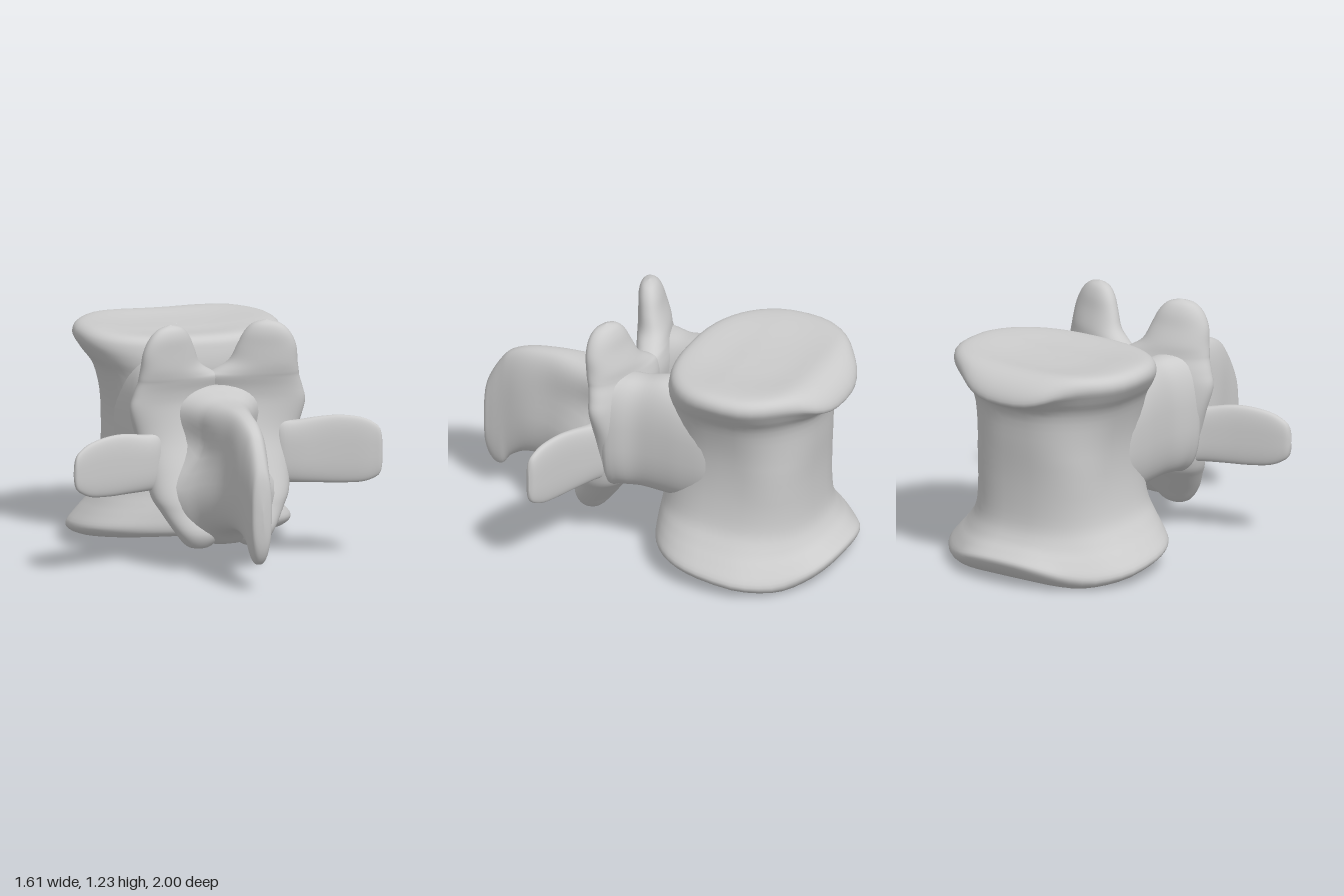
import * as THREE from 'three';

const { clamp, smoothstep } = THREE.MathUtils;
const material = new THREE.MeshStandardMaterial({ color: 0xcccccc });
const SIDES = 48, STEPS = 4;

// Smooth interpolation between profile rows
function smoothRows(rows) {
  const out = [];
  const at = (i) => rows[Math.min(Math.max(i, 0), rows.length - 1)];
  for (let i = 0; i < rows.length - 1; i++) {
    for (let s = 0; s < STEPS; s++) {
      const u = s / STEPS;
      out.push(rows[i].map((p1, k) => {
        const p0 = at(i - 1)[k], p2 = at(i + 1)[k], p3 = at(i + 2)[k];
        return 0.5 * (2 * p1 + (p2 - p0) * u + (2 * p0 - 5 * p1 + 4 * p2 - p3) * u * u
          + (3 * p1 - p0 - 3 * p2 + p3) * u * u * u);
      }));
    }
  }
  out.push(rows[rows.length - 1]);
  return out;
}

// Superellipse loft. Row: [t, centreA, centreB, radiusA, radiusB];
// axes run cyclically: y -> (z, x), z -> (x, y), x -> (y, z)
function loft(name, axis, rows, power, warp = null) {
  const t = 'xyz'.indexOf(axis), a = (t + 1) % 3, b = (t + 2) % 3;
  const positions = [], index = [];
  const bend = (v) => Math.sign(v) * Math.pow(Math.abs(v), 2 / power);
  const rings = smoothRows(rows);
  for (const [h, ca, cb, ra, rb] of rings) {
    for (let j = 0; j < SIDES; j++) {
      const angle = (j / SIDES) * Math.PI * 2;
      const p = [0, 0, 0];
      p[t] = h;
      p[a] = ca + Math.max(ra, 0.001) * bend(Math.cos(angle));
      p[b] = cb + Math.max(rb, 0.001) * bend(Math.sin(angle));
      if (warp) warp(p);
      positions.push(...p);
    }
  }
  for (let i = 0; i < rings.length - 1; i++) {
    for (let j = 0; j < SIDES; j++) {
      const k = (j + 1) % SIDES, p = i * SIDES, q = p + SIDES;
      index.push(p + j, p + k, q + j, p + k, q + k, q + j);
    }
  }
  const geometry = new THREE.BufferGeometry();
  geometry.setAttribute('position', new THREE.Float32BufferAttribute(positions, 3));
  geometry.setIndex(index);
  geometry.computeVertexNormals();
  const mesh = new THREE.Mesh(geometry, material);
  mesh.name = name;
  return mesh;
}

// Waisted drum with flared rims: [y, half width, front z, back z]
function vertebralBody() {
  const rows = [
    [0.03, 0, -0.5, -0.5], [0.02, 0.25, -0.3, -0.75], [0, 0.46, -0.1, -0.9],
    [0.015, 0.53, -0.055, -0.98], [0.06, 0.56, -0.04, -1.0], [0.13, 0.51, -0.04, -0.955],
    [0.2, 0.455, -0.045, -0.9], [0.3, 0.4, -0.055, -0.86], [0.5, 0.37, -0.07, -0.85],
    [0.7, 0.375, -0.09, -0.862], [0.88, 0.42, -0.1, -0.88], [0.97, 0.48, -0.1, -0.94],
    [1.04, 0.52, -0.11, -0.99], [1.09, 0.5, -0.13, -0.97], [1.105, 0.42, -0.19, -0.88],
    [1.085, 0.2, -0.35, -0.7], [1.08, 0, -0.52, -0.52],
  ].map(([y, w, f, k]) => [y, (f + k) / 2, 0, (f - k) / 2, w]);
  // Slant the underside, round the rims at the back and curl them toward the waist,
  // which stays squarer at the back than the rims
  return loft('vertebralBody', 'y', rows, 2.5, (p) => {
    const low = clamp(1 - p[1] / 0.5, 0, 1);
    const high = clamp((p[1] - 0.6) / 0.4, 0, 1);
    const lip = Math.max(0, -0.8 - p[2]) ** 2;
    const back = clamp((-0.55 - p[2]) / 0.35, 0, 1);
    p[0] *= 1 + 0.14 * Math.max(0, 1 - 1.6 * (low + high)) * back - 0.21 * (low + high) * back ** 2;
    p[1] += low * (0.125 * Math.max(0, p[2] + 0.8) + 2 * lip)
      - high * (2.4 * lip + 0.06 * Math.max(0, p[2] + 0.45));
  });
}

// Bridge flowing out of the body's flank into the arch on each side
function pedicle(side) {
  return loft(side > 0 ? 'leftPedicle' : 'rightPedicle', 'z', [
    [-0.56, 0.22, 0.64, 0, 0], [-0.52, 0.22, 0.64, 0.1, 0.2], [-0.4, 0.22, 0.65, 0.145, 0.27],
    [-0.25, 0.225, 0.66, 0.15, 0.31], [-0.12, 0.222, 0.67, 0.15, 0.32],
    [0, 0.232, 0.665, 0.142, 0.305], [0.1, 0.25, 0.665, 0.155, 0.305], [0.17, 0.25, 0.66, 0.145, 0.29],
    [0.2, 0.25, 0.66, 0, 0],
  ].map(([z, x, ...rest]) => [z, side * x, ...rest]), 2.5);
}

// Half of the arch: upper articular lobe, lamina and lower tip
function lamina(side) {
  const rows = [
    [0.112, 0.14, 0.34, 0, 0], [0.13, 0.14, 0.335, 0.065, 0.055], [0.2, 0.135, 0.32, 0.125, 0.1],
    [0.3, 0.15, 0.265, 0.17, 0.12], [0.37, 0.168, 0.23, 0.188, 0.13], [0.5, 0.185, 0.19, 0.19, 0.115],
    [0.65, 0.2, 0.155, 0.215, 0.095], [0.8, 0.21, 0.145, 0.245, 0.085], [0.88, 0.2, 0.15, 0.24, 0.085],
    [0.94, 0.19, 0.165, 0.23, 0.085], [0.97, 0.21, 0.172, 0.205, 0.085], [1.02, 0.242, 0.18, 0.165, 0.083],
    [1.1, 0.255, 0.195, 0.142, 0.07], [1.17, 0.255, 0.205, 0.11, 0.06],
    [1.215, 0.252, 0.21, 0.065, 0.038], [1.233, 0.25, 0.21, 0, 0],
  ].map(([y, x, z, rx, rz]) => [y, z, side * x, rz, rx]);
  // Turn the upper lobe so its outer edge sits further forward
  return loft(side > 0 ? 'leftLamina' : 'rightLamina', 'y', rows, 2.2, (p) => {
    p[2] += 0.25 * smoothstep(p[1], 0.5, 0.9) * (side * p[0] - 0.25);
  });
}

// Flat wing sweeping outward and forward: [x, top, bottom, z, half thickness]
function transverseProcess(side) {
  const rows = [
    [0.28, 0.66, 0.44, 0.17, 0], [0.3, 0.72, 0.4, 0.185, 0.06], [0.38, 0.715, 0.4, 0.23, 0.052],
    [0.5, 0.735, 0.4, 0.275, 0.04], [0.6, 0.745, 0.4, 0.31, 0.035], [0.7, 0.735, 0.405, 0.345, 0.032],
    [0.76, 0.71, 0.425, 0.365, 0.027], [0.793, 0.675, 0.455, 0.377, 0.02], [0.805, 0.6, 0.52, 0.38, 0],
  ].map(([x, top, bottom, z, r]) => {
    if (side < 0) {
      top -= 0.03 + 0.1 * Math.max(0, x - 0.5);
      bottom += 0.08 * Math.max(0, x - 0.65);
    }
    return [side * x, (top + bottom) / 2, z, (top - bottom) / 2, r];
  });
  if (side < 0) rows.reverse();
  return loft(side > 0 ? 'leftTransverseProcess' : 'rightTransverseProcess', 'x', rows, 2.8);
}

// Central blade, flaring into the laminae: [z, top, bottom, half width]
function spinousProcess() {
  const rows = [
    [0.045, 0.7, 0.55, 0], [0.06, 0.82, 0.46, 0.2], [0.14, 0.9, 0.36, 0.32], [0.25, 0.885, 0.22, 0.335],
    [0.35, 0.865, 0.13, 0.265], [0.45, 0.86, 0.2, 0.195], [0.6, 0.86, 0.25, 0.12],
    [0.75, 0.84, 0.25, 0.09], [0.85, 0.8, 0.2, 0.07], [0.9, 0.75, 0.14, 0.062],
    [0.95, 0.67, 0.155, 0.055], [0.985, 0.58, 0.23, 0.045], [1.0, 0.42, 0.36, 0],
  ].map(([z, top, bottom, w]) => [z, 0, (top + bottom) / 2, w, (top - bottom) / 2]);
  // Hollow the flanks under the top ridge and taper the ridge itself
  return loft('spinousProcess', 'z', rows, 2.6, (p) => {
    const root = clamp((0.8 - p[2]) / 0.45, 0, 1) * smoothstep(p[2], 0, 0.3);
    const hollow = Math.exp(-(((p[1] - 0.62) / 0.16) ** 2));
    p[0] *= 1 - root * (0.38 * hollow + 0.22 * smoothstep(p[1], 0.4, 0.8));
  });
}

export function createModel() {
  const model = new THREE.Group();
  model.name = 'vertebra';
  model.add(vertebralBody(), spinousProcess());
  for (const side of [1, -1]) {
    model.add(pedicle(side), lamina(side), transverseProcess(side));
  }
  return model;
}
